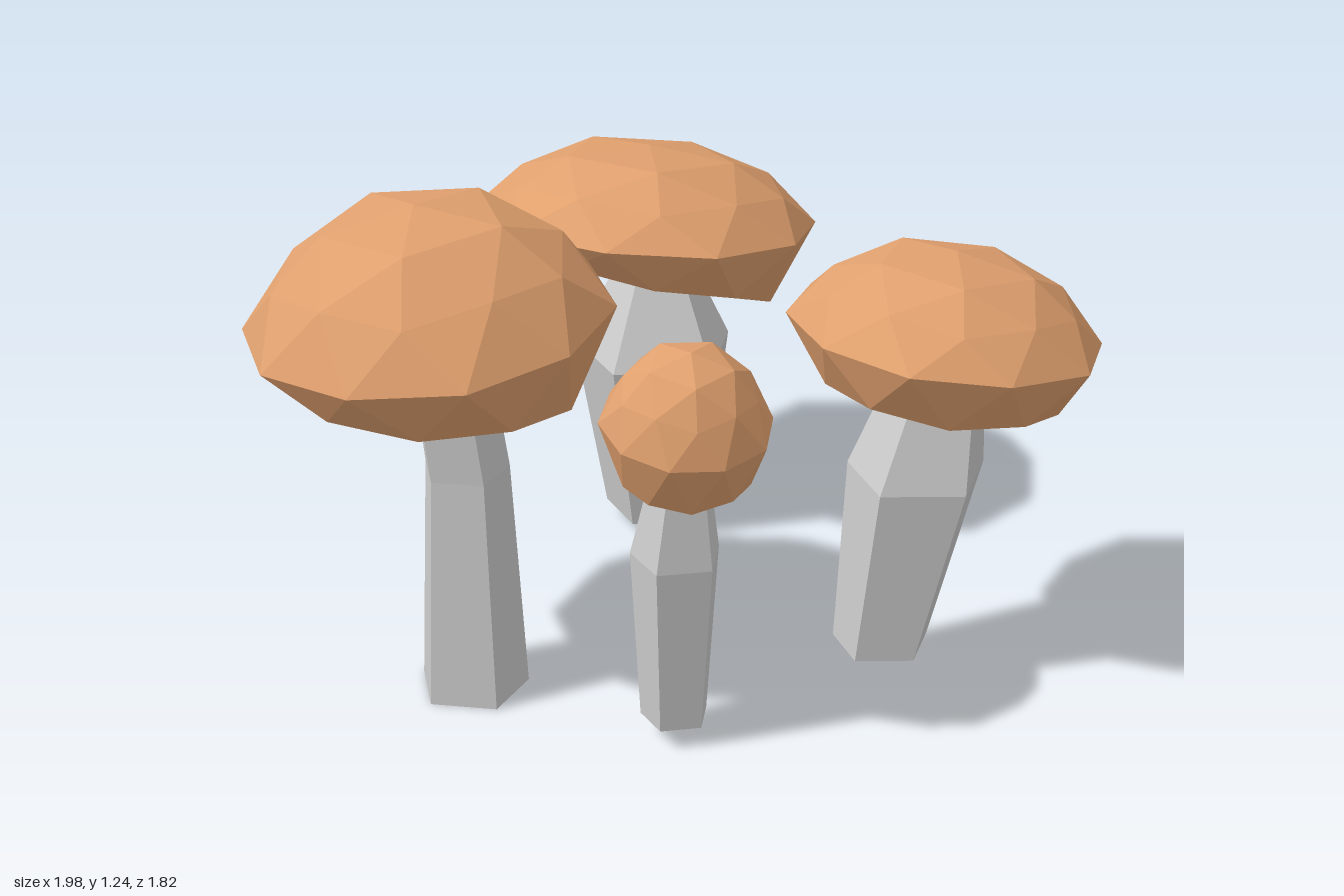
import * as THREE from 'three';

const capMaterial = new THREE.MeshStandardMaterial({ color: 0xe0a06e, flatShading: true });
const stemMaterial = new THREE.MeshStandardMaterial({
  color: 0xcccccc, flatShading: true, side: THREE.DoubleSide,
});

// Open five-sided stem lofted through rings of [x, y, z, radius]; turn is the angle of its first corner.
function createStem(rings, turn) {
  const sides = 5;
  const positions = [], index = [];
  for (const [x, y, z, r] of rings) {
    for (let i = 0; i < sides; i++) {
      const a = turn + (i / sides) * Math.PI * 2;
      positions.push(x + r * Math.cos(a), y, z + r * Math.sin(a));
    }
  }
  for (let k = 0; k < rings.length - 1; k++) {
    for (let i = 0; i < sides; i++) {
      const a = k * sides + i, b = k * sides + ((i + 1) % sides);
      index.push(a, a + sides, b, b, a + sides, b + sides);
    }
  }
  const geometry = new THREE.BufferGeometry();
  geometry.setAttribute('position', new THREE.Float32BufferAttribute(positions, 3));
  geometry.setIndex(index);
  geometry.computeVertexNormals();
  const mesh = new THREE.Mesh(geometry, stemMaterial);
  mesh.name = 'stem';
  return mesh;
}

// Faceted cap: tall dome above the rim, steep edge and nearly flat plate below it, slightly uneven.
// droop deepens the underside towards +x and +z.
function createCap({ at, radius, dome, under, droop, turn, tilt }) {
  const geometry = new THREE.IcosahedronGeometry(1, 1);
  geometry.rotateX(-Math.atan((1 + Math.sqrt(5)) / 2)); // one corner points up
  geometry.rotateY(-turn);
  const p = geometry.attributes.position;
  for (let i = 0; i < p.count; i++) {
    const x = p.getX(i), y = p.getY(i), z = p.getZ(i);
    const bump = 1 + 0.02 * Math.sin(5 * x + 3 * z + at[0] * 9) * Math.cos(4 * z - 3 * y);
    const taper = 1 - 0.4 * Math.abs(y) * (1 - Math.abs(y));
    const depth = under + droop[0] * x + droop[1] * z;
    const height = y > 0 ? y * dome : -Math.min(1, -y / 0.5) * depth;
    p.setXYZ(i, x * radius * taper * bump, height * bump, z * radius * taper * bump);
  }
  geometry.computeVertexNormals();
  const mesh = new THREE.Mesh(geometry, capMaterial);
  mesh.position.set(...at);
  mesh.rotation.set(tilt[0], 0, tilt[1]);
  mesh.name = 'cap';
  return mesh;
}

const mushrooms = [
  {
    name: 'tallMushroom',
    rings: [[-0.5, 0, 0.35, 0.137], [-0.505, 0.58, 0.34, 0.107], [-0.545, 0.9, 0.33, 0.1]],
    stemTurn: 0.05,
    cap: {
      at: [-0.573, 0.955, 0.295], radius: 0.438, dome: 0.29, under: 0.165,
      droop: [0.06, 0], turn: 0.28, tilt: [0, 0.1],
    },
  },
  {
    name: 'backMushroom',
    rings: [[0.13, 0.04, -0.42, 0.14], [0.12, 0.5, -0.43, 0.215], [0.13, 0.74, -0.45, 0.09]],
    stemTurn: -0.22,
    cap: {
      at: [0.105, 0.85, -0.475], radius: 0.445, dome: 0.19, under: 0.148,
      droop: [0.07, -0.035], turn: 0.12, tilt: [-0.13, -0.09],
    },
  },
  {
    name: 'leaningMushroom',
    rings: [[0.49, 0.07, 0.475, 0.12], [0.565, 0.53, 0.48, 0.172], [0.62, 0.8, 0.475, 0.11]],
    stemTurn: -0.12,
    cap: {
      at: [0.625, 0.89, 0.463], radius: 0.378, dome: 0.19, under: 0.145,
      droop: [0.01, 0], turn: 0.2, tilt: [-0.04, -0.12],
    },
  },
  {
    name: 'smallMushroom',
    rings: [[-0.07, 0.05, 0.68, 0.083], [-0.07, 0.48, 0.69, 0.11], [-0.06, 0.75, 0.7, 0.06]],
    stemTurn: -0.28,
    cap: {
      at: [-0.055, 0.835, 0.715], radius: 0.2, dome: 0.185, under: 0.148,
      droop: [0, 0], turn: 0.1, tilt: [0.2, 0],
    },
  },
];

export function createModel() {
  const model = new THREE.Group();
  model.name = 'mushroomCluster';
  for (const { name, rings, stemTurn, cap } of mushrooms) {
    const mushroom = new THREE.Group();
    mushroom.name = name;
    mushroom.add(createStem(rings, stemTurn), createCap(cap));
    model.add(mushroom);
  }
  return model;
}
